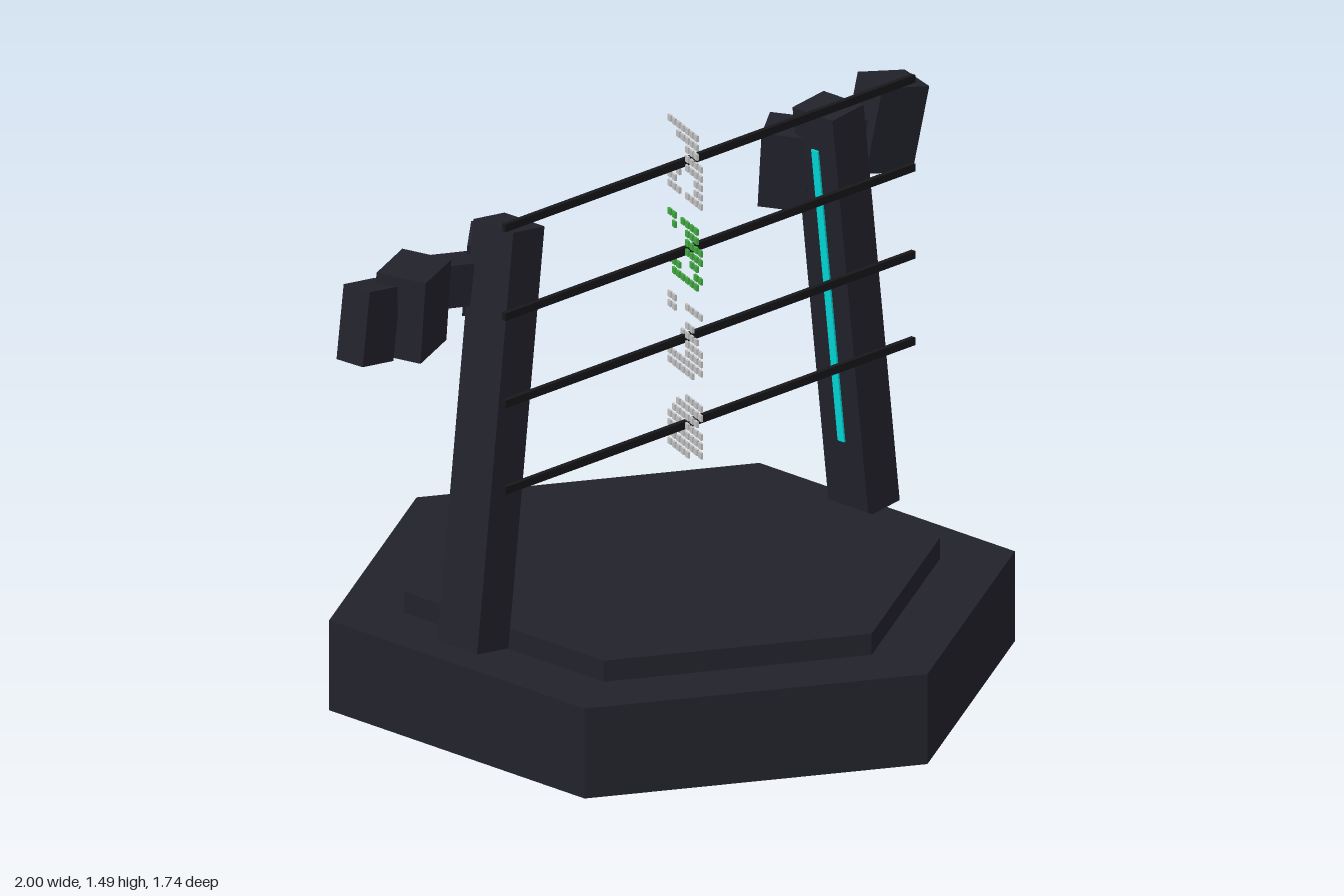
import * as THREE from 'three';

const mat = (name, color) => Object.assign(new THREE.MeshStandardMaterial({ color }), { name });

export function createModel() {
  const slate = mat('dark slate', 0x22222c);
  const black = mat('rail black', 0x18181c);
  const cyan = mat('cyan glow', 0x00dddd);
  const grey = mat('pixel grey', 0xc4c4c4);
  const green = mat('pixel green', 0x44aa44);

  const model = new THREE.Group();
  model.name = 'hexagonalGateStand';
  const CX = 0.03; // axis of the platform and posts

  const add = (parent, name, geometry, material, pos, rot = [0, 0, 0]) => {
    const mesh = new THREE.Mesh(geometry, material);
    mesh.name = name;
    mesh.position.set(...pos);
    mesh.rotation.set(...rot);
    parent.add(mesh);
    return mesh;
  };
  const box = (parent, name, size, material, pos, rot) =>
    add(parent, name, new THREE.BoxGeometry(...size), material, pos, rot);

  // Two-tier hexagonal platform, with a corner pointing to the front
  const hex = (r, h) => new THREE.CylinderGeometry(r, r, h, 6).toNonIndexed();
  for (const [name, r, y0, y1] of [['platformBase', 0.87, 0, 0.235], ['platformStep', 0.68, 0.235, 0.29]]) {
    const g = hex(r, y1 - y0);
    g.computeVertexNormals();
    add(model, name, g, slate, [CX, (y0 + y1) / 2, 0]);
  }

  // Inward-leaning posts with a light strip on the inner face
  for (const s of [-1, 1]) {
    const post = new THREE.Group();
    post.name = s < 0 ? 'rightPost' : 'leftPost';
    post.position.set(CX + s * 0.622, 0.799, -0.012);
    post.rotation.z = s * 0.118;
    box(post, 'postBeam', [0.11, 1.075, 0.136], slate, [0, 0, 0]);
    box(post, 'lightStrip', [0.008, 0.79, 0.022], cyan, [-s * 0.056, 0.045, 0]);
    model.add(post);
  }

  // Tumbled blocks clustered around the post tops: size, position, rotation
  const blocks = [
    [[0.115, 0.19, 0.085], [-0.93, 1.158, -0.1], [0, 0.05, -0.14]],
    [[0.165, 0.215, 0.13], [-0.79, 1.165, -0.09], [0.08, 0.38, 0]],
    [[0.16, 0.11, 0.09], [-0.63, 1.18, -0.12], [0, -0.3, -0.08]],
    [[0.12, 0.2, 0.12], [-0.47, 1.16, -0.13], [0.1, 0.7, 0.1]],
    [[0.12, 0.2, 0.12], [0.57, 1.16, -0.13], [0.08, 0.6, 0.05]],
    [[0.12, 0.19, 0.12], [0.71, 1.165, -0.12], [0.1, -0.4, -0.06]],
    [[0.14, 0.225, 0.11], [0.9, 1.178, -0.12], [0.08, -0.22, -0.15]],
  ];
  blocks.forEach(([size, pos, rot], i) => box(model, `block${i + 1}`, size, slate, pos, rot));

  // Horizontal rails, each carrying a slanted panel of small pixels
  const rails = [1.4, 1.168, 0.94, 0.714];
  const patterns = [
    ['01111111', '01111100', '01110000', '11110000', '11110000', '11000100', '11000011', '11110111'],
    ['01111011', '01110010', '11110000', '11110000', '01100000', '11000111', '01111110'],
    ['11110011', '00000011', '00110000', '01111000', '11110000', '11110000', '11111111', '00111111'],
    ['11110000', '11111100', '01111110', '11111111', '11111111', '11111111', '00011111'],
  ];
  const pixel = new THREE.BoxGeometry(0.006, 0.016, 0.017);
  const pitch = 0.0243;
  rails.forEach((y, i) => {
    box(model, `rail${i + 1}`, [1.435, 0.02, 0.013], black, [0.0275, y, 0.127]);
    const panel = new THREE.Group();
    panel.name = `pixelPanel${i + 1}`;
    panel.position.set(-0.057, y, 0.13);
    panel.rotation.y = -0.37;
    const rows = patterns[i];
    rows.forEach((row, r) => [...row].forEach((on, c) => {
      if (on === '1') {
        add(panel, 'pixel', pixel, i === 1 ? green : grey,
          [0, ((rows.length - 1) / 2 - r) * pitch, (3.5 - c) * 0.0257]);
      }
    }));
    model.add(panel);
  });

  return model;
}
